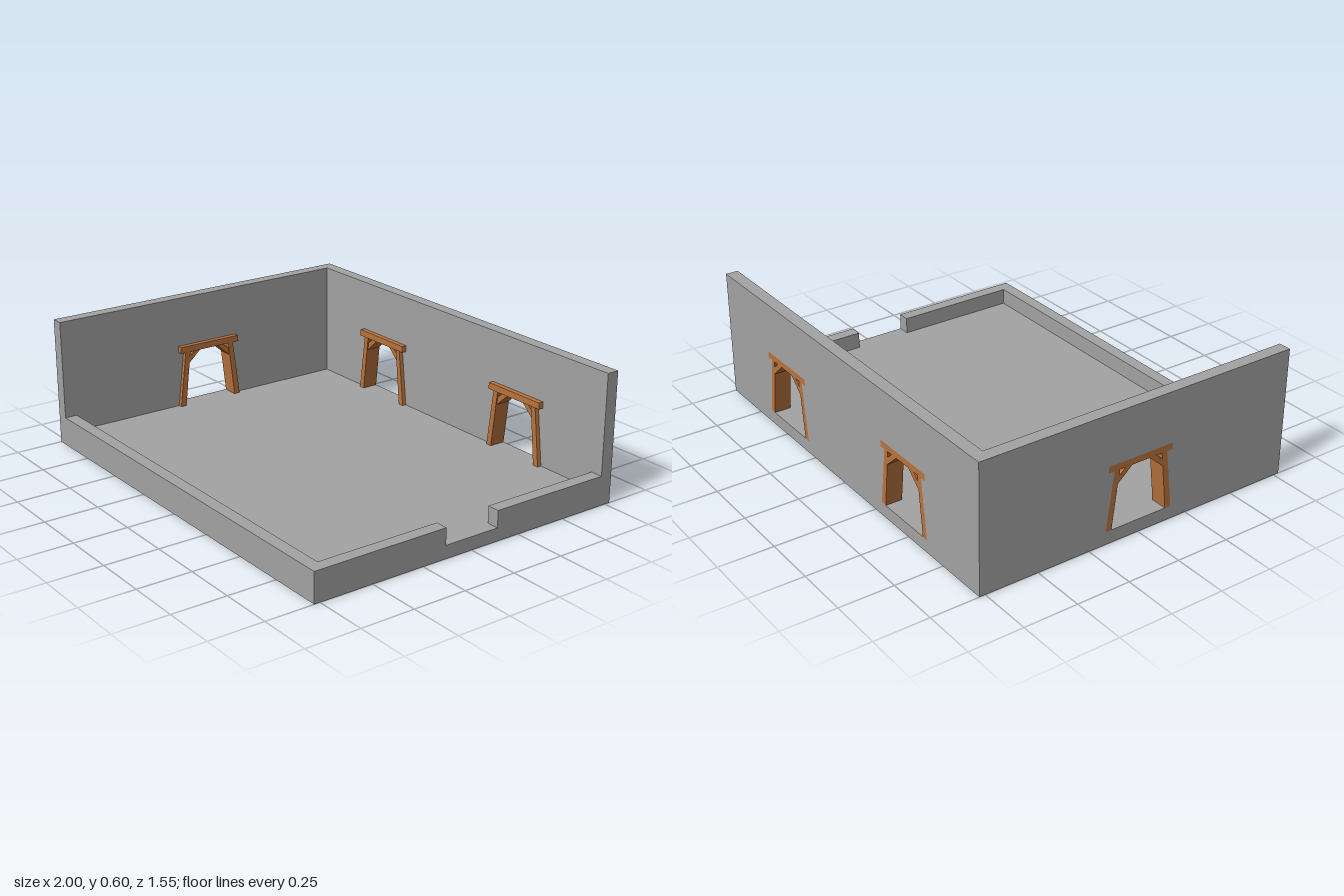
import * as THREE from 'three';

const W = 1, D = 0.777;             // half width and half depth
const T = 0.058;                    // wall thickness
const FLOOR = 0.06, LOW = 0.137, HIGH = 0.597;
const LINTEL = 0.33, LINTEL_TOP = 0.36;

const stone = new THREE.MeshStandardMaterial({ color: 0xa3a3a3, flatShading: true });
const wood = new THREE.MeshStandardMaterial({ color: 0xb9733d, flatShading: true });

// Outer edge of a door frame, right half, from the floor up
const FRAME_EDGE = [[0.168, FLOOR], [0.134, LINTEL], [0.163, LINTEL], [0.161, LINTEL_TOP]];

function extrude(name, list, depth, material) {
  const shape = new THREE.Shape(list.map(([x, y]) => new THREE.Vector2(x, y)));
  const geometry = new THREE.ExtrudeGeometry(shape, { depth, bevelEnabled: false });
  const mesh = new THREE.Mesh(geometry, material);
  mesh.name = name;
  return mesh;
}

// Box given by its minimum and maximum corners
function block(name, x0, x1, y0, y1, z0, z1) {
  const mesh = new THREE.Mesh(new THREE.BoxGeometry(x1 - x0, y1 - y0, z1 - z0), stone);
  mesh.position.set((x0 + x1) / 2, (y0 + y1) / 2, (z0 + z1) / 2);
  mesh.name = name;
  return mesh;
}

// High wall notched around its door frames; local z runs from the outer face inwards
function doorWall(name, x0, x1, doors) {
  const outline = [[x0, FLOOR]];
  for (const c of doors) {
    outline.push(...FRAME_EDGE.map(([x, y]) => [c - x, y]));
    outline.push(...FRAME_EDGE.map(([x, y]) => [c + x, y]).reverse());
  }
  outline.push([x1, FLOOR], [x1, HIGH], [x0, HIGH]);

  const group = new THREE.Group();
  group.name = name;
  group.add(extrude(name + 'Panel', outline, T, stone));
  doors.forEach((c) => group.add(doorFrame(c)));
  return group;
}

// Timber frame: leaning posts, diagonal braces and a lintel, set through the wall
function doorFrame(centre) {
  const frame = new THREE.Group();
  frame.name = 'doorFrame';
  frame.position.x = centre;
  const [foot, head, under, top] = FRAME_EDGE;
  const add = (name, list, reach) => frame.add(extrude(name, list, T + reach, wood));

  add('lintel', [[-under[0], LINTEL], under, top, [-top[0], LINTEL_TOP]], 0.025);
  for (const s of [-1, 1]) {
    const side = s < 0 ? 'right' : 'left';
    const mirror = (list) => list.map(([x, y]) => [s * x, y]);
    add(side + 'Post', mirror([foot, [0.139, FLOOR], [0.108, LINTEL], head]), 0.02);
    add(side + 'Brace', mirror([
      [0.117, 0.265], [0.045, LINTEL], [0.079, LINTEL], [0.113, 0.301],
    ]), 0.014);
  }
  return frame;
}

export function createModel() {
  const model = new THREE.Group();
  model.name = 'room';

  model.add(block('floor', -W, W, 0, FLOOR, -D, D));

  // High walls at the back and on the right-hand side
  const back = doorWall('backWall', -W, W, [-0.47, 0.47]);
  back.position.z = -D;
  const side = doorWall('sideWall', -D, D - T, [0]);
  side.rotation.y = Math.PI / 2;
  side.position.x = -W;
  model.add(back, side);

  // Low walls, with an entrance gap on the left-hand side
  model.add(
    block('frontLowWall', -W + T, W, FLOOR, LOW, D - T, D),
    block('sideLowWallFront', W - T, W, FLOOR, LOW, 0.135, D - T),
    block('sideLowWallBack', W - T, W, FLOOR, LOW, -D + T, -0.136),
  );
  return model;
}
